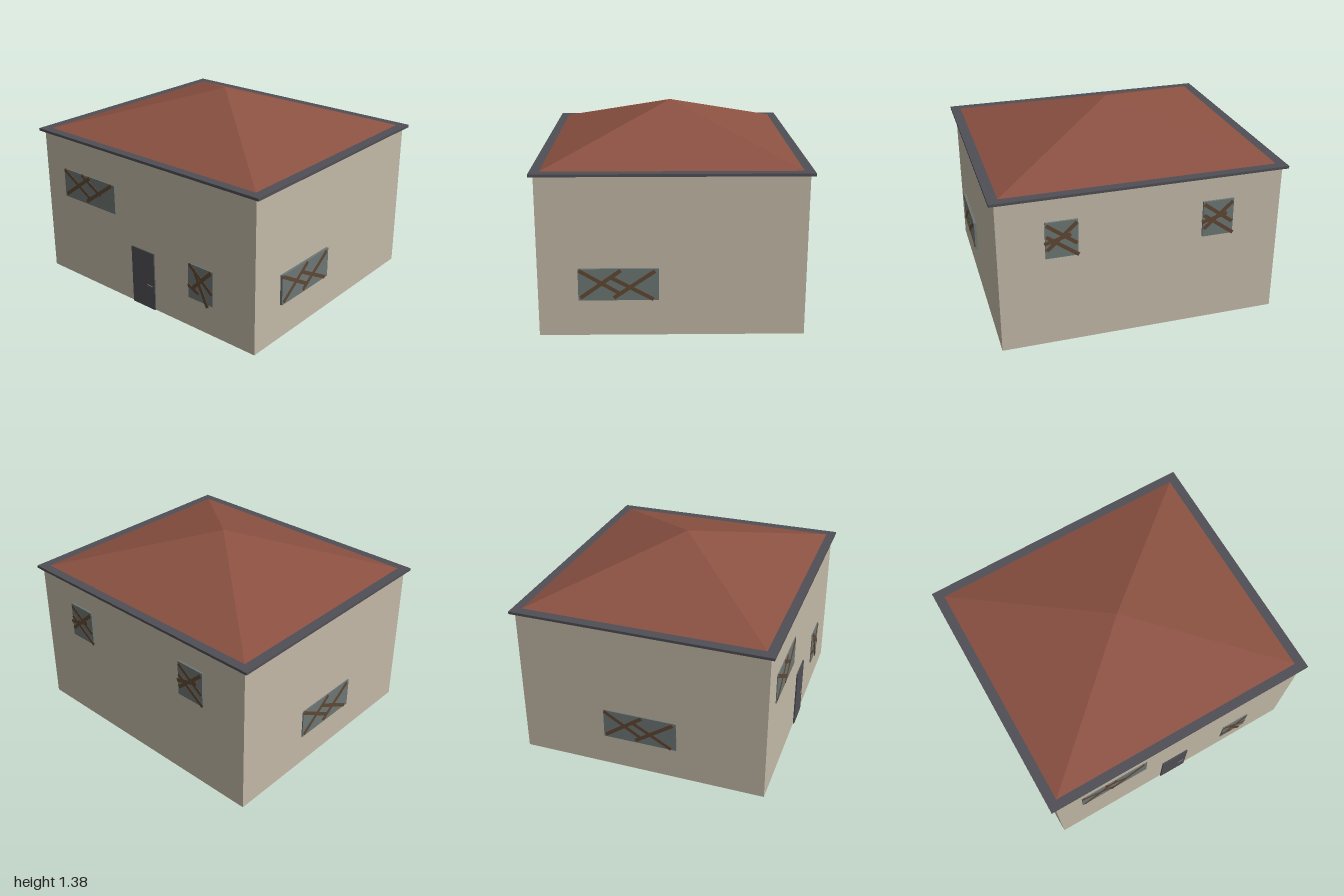
import * as THREE from 'three';

const mat = (name, color) => new THREE.MeshStandardMaterial({ name, color });

export function createModel() {
  const plaster = mat('plaster', 0xc2b8a6);
  const tile = mat('roofTile', 0x8b5142);
  const slate = mat('slateGrey', 0x4f4f55);
  const glass = mat('dustyGlass', 0x6c7674);
  const wood = mat('boardWood', 0x5f4733);
  const metal = mat('handleMetal', 0x77777c);

  const house = new THREE.Group();
  house.name = 'house';

  const box = (parent, name, material, w, h, d, x, y, z) => {
    const mesh = new THREE.Mesh(new THREE.BoxGeometry(w, h, d), material);
    mesh.name = name;
    mesh.position.set(x, y, z);
    parent.add(mesh);
    return mesh;
  };

  // Walls and eaves slab
  box(house, 'walls', plaster, 1.93, 1.08, 1.725, 0, 0.54, 0);
  box(house, 'eaves', slate, 2, 0.018, 1.78, 0, 1.084, 0);

  // Four-sided hipped roof meeting at one peak
  const roofShape = new THREE.ConeGeometry(Math.SQRT2, 0.293, 4, 1).toNonIndexed();
  roofShape.rotateY(Math.PI / 4);
  roofShape.scale(0.935, 1, 0.83);
  roofShape.computeVertexNormals();
  const roof = new THREE.Mesh(roofShape, tile);
  roof.name = 'roof';
  roof.position.y = 1.092 + 0.1465;
  house.add(roof);

  // Door with a small handle
  box(house, 'door', slate, 0.21, 0.43, 0.03, -0.002, 0.215, 0.857);
  box(house, 'doorHandle', metal, 0.045, 0.006, 0.006, 0.06, 0.178, 0.874);

  // Boards are [u1, v1, u2, v2] from the window centre, seen from outside
  const wideA = [
    [-0.253, 0.1, 0.009, -0.06], [-0.243, -0.087, 0.014, 0.1],
    [-0.071, 0.1, 0.117, -0.006], [-0.028, -0.087, 0.234, 0.1]];
  const wideB = [
    [-0.253, 0.098, 0.01, -0.06], [-0.244, -0.089, 0.016, 0.098],
    [-0.053, 0.053, 0.225, -0.1], [-0.03, -0.089, 0.235, 0.093]];
  const smallA = [
    [-0.094, 0.122, 0.1, -0.04], [0.094, 0.118, -0.06, -0.04],
    [-0.055, 0.1, 0.062, -0.147], [-0.105, -0.03, -0.013, -0.072]];
  const smallB = [
    [-0.1, 0.11, 0.1, -0.04], [0.1, 0.11, -0.1, -0.07],
    [-0.1, 0.03, 0.11, -0.125], [-0.115, -0.02, 0.06, 0.03]];

  // Boarded window: the glass stands proud of the wall by "out"
  const addWindow = (name, w, h, out, boards, x, y, z, turn) => {
    const g = new THREE.Group();
    g.name = name;
    g.position.set(x, y, z);
    g.rotation.y = turn;
    box(g, 'pane', glass, w, h, out + 0.01, 0, 0, out / 2 - 0.005);
    boards.forEach(([u1, v1, u2, v2], i) => {
      const plank = box(g, 'board', wood, Math.hypot(u2 - u1, v2 - v1), 0.025, 0.006,
        (u1 + u2) / 2, (v1 + v2) / 2, out + i * 0.0004);
      plank.rotation.z = Math.atan2(v2 - v1, u2 - u1);
    });
    house.add(g);
  };

  const Q = Math.PI / 2;
  addWindow('frontUpperWindow', 0.517, 0.212, 0.006, wideA, -0.517, 0.726, 0.8625, 0);
  addWindow('frontLowerWindow', 0.21, 0.252, 0.008, smallA, 0.521, 0.348, 0.8625, 0);
  addWindow('leftSideWindow', 0.517, 0.214, 0.017, wideB, 0.965, 0.357, 0.344, Q);
  addWindow('rightSideWindow', 0.517, 0.212, 0.008, wideB, -0.965, 0.335, -0.005, -Q);
  addWindow('backLeftWindow', 0.215, 0.255, 0.014, smallB, 0.548, 0.78, -0.8625, 2 * Q);
  addWindow('backRightWindow', 0.215, 0.255, 0.014, smallB, -0.517, 0.775, -0.8625, 2 * Q);

  return house;
}
